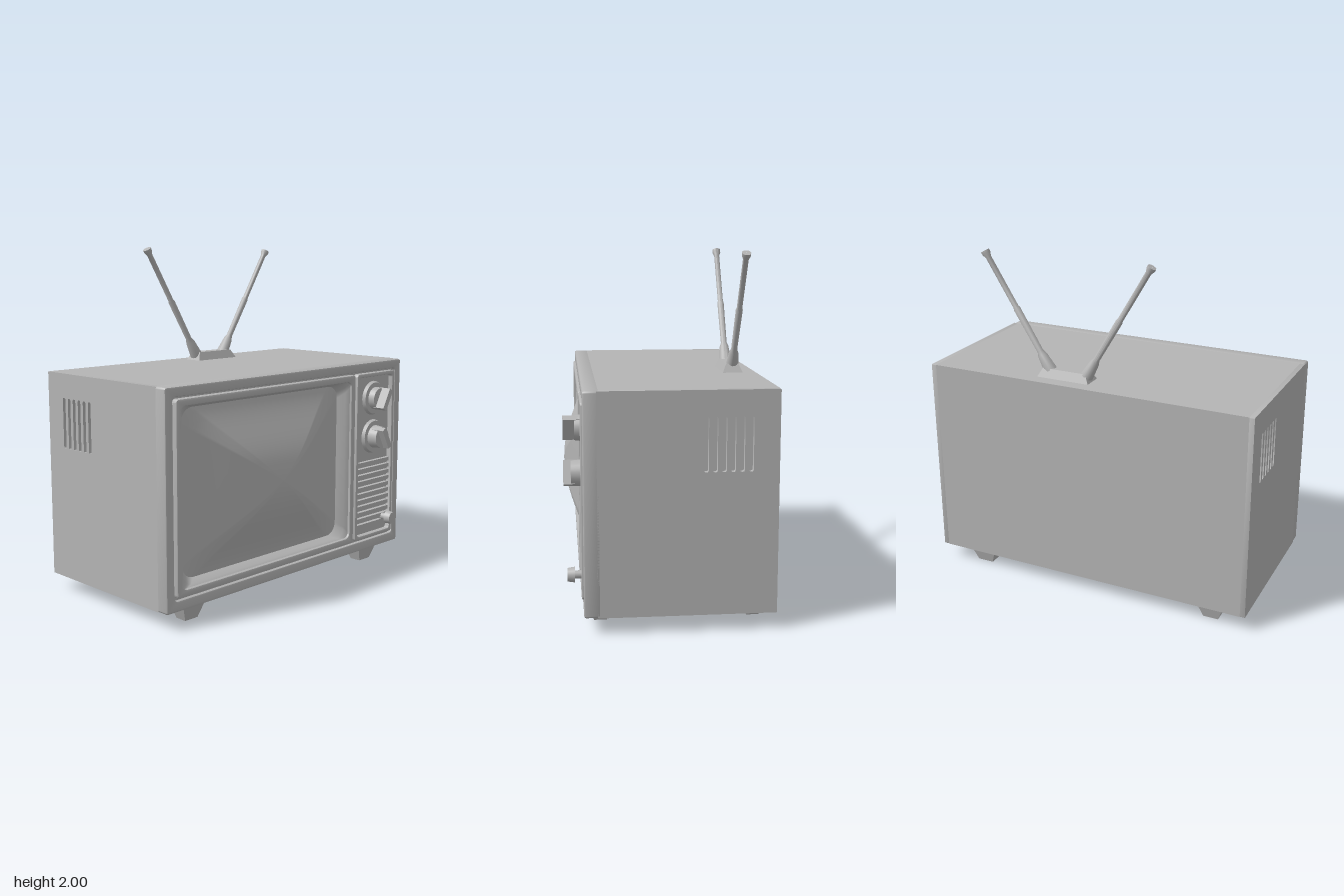
import * as THREE from 'three';
import { toCreasedNormals } from 'three/addons/utils/BufferGeometryUtils.js';

const grey = new THREE.MeshStandardMaterial({ color: 0xb4b4b4 });
grey.name = 'plain grey';

// Corner points of a rounded rectangle, counter-clockwise
function roundRect(x0, x1, y0, y1, r, seg = 6) {
  const pts = [];
  const corners = [[x1 - r, y0 + r], [x1 - r, y1 - r], [x0 + r, y1 - r], [x0 + r, y0 + r]];
  corners.forEach(([cx, cy], k) => {
    for (let i = 0; i <= seg; i++) {
      const a = (k - 1 + i / seg) * Math.PI / 2;
      pts.push(new THREE.Vector2(cx + r * Math.cos(a), cy + r * Math.sin(a)));
    }
  });
  return pts;
}

// Flat plate with holes, from z0 to z1
function plate(outer, holes, z0, z1, bevel = 0) {
  const shape = new THREE.Shape(outer);
  holes.forEach(h => shape.holes.push(new THREE.Path(h)));
  const geo = new THREE.ExtrudeGeometry(shape, {
    depth: z1 - z0 - 2 * bevel, bevelEnabled: bevel > 0,
    bevelSize: bevel, bevelThickness: bevel, bevelOffset: -bevel, bevelSegments: 2,
  });
  return toCreasedNormals(geo.translate(0, 0, z0 + bevel), 0.7);
}

// Skin between successive rings of [x, y, z] points
function loft(rings) {
  const n = rings[0].length, idx = [];
  for (let j = 0; j < rings.length - 1; j++) {
    for (let i = 0; i < n; i++) {
      const a = j * n + i, b = j * n + (i + 1) % n;
      idx.push(a, b, a + n, b, b + n, a + n);
    }
  }
  const geo = new THREE.BufferGeometry();
  geo.setAttribute('position', new THREE.Float32BufferAttribute(rings.flat(2), 3));
  geo.setIndex(idx);
  geo.computeVertexNormals();
  return geo;
}

// Box narrowing towards its underside
function taperedBox(x0, x1, y0, y1, z0, z1, inset) {
  const geo = new THREE.BoxGeometry(x1 - x0, y1 - y0, z1 - z0);
  const p = geo.attributes.position;
  for (let i = 0; i < p.count; i++) {
    if (p.getY(i) < 0) {
      p.setX(i, p.getX(i) - Math.sign(p.getX(i)) * inset);
      p.setZ(i, p.getZ(i) - Math.sign(p.getZ(i)) * Math.min(inset, 0.025));
    }
  }
  geo.translate((x0 + x1) / 2, (y0 + y1) / 2, (z0 + z1) / 2);
  return toCreasedNormals(geo, 0.4);
}

export function createModel() {
  const tv = new THREE.Group();
  tv.name = 'television';
  const add = (name, geo, parent = tv) => {
    const m = new THREE.Mesh(geo, grey);
    m.name = name;
    parent.add(m);
    return m;
  };
  const box = (x0, x1, y0, y1, z0, z1) => new THREE.BoxGeometry(x1 - x0, y1 - y0, z1 - z0)
    .translate((x0 + x1) / 2, (y0 + y1) / 2, (z0 + z1) / 2);

  // Cabinet core, with slotted panels on both sides
  add('cabinet', box(-0.97, 0.97, 0.09, 1.29, -0.56, 0.38));
  const slots = [];
  for (let i = 0; i < 6; i++) {
    const z = -0.41 + i * 0.047;
    slots.push(roundRect(z - 0.012, z + 0.012, 0.86, 1.15, 0.008, 2));
  }
  for (const s of [-1, 1]) {
    const side = add(s > 0 ? 'leftVentPanel' : 'rightVentPanel',
      plate(roundRect(-0.56, 0.39, 0.09, 1.29, 0.004, 2), slots, 0, 0.03)
        .applyMatrix4(new THREE.Matrix4().makeBasis(
          new THREE.Vector3(0, 0, 1), new THREE.Vector3(0, 1, 0), new THREE.Vector3(-1, 0, 0))));
    side.position.x = s > 0 ? 1 : -0.97;
  }

  // Front frame and the trims around the screen and the controls
  add('frontFrame', plate(roundRect(-1, 1, 0.09, 1.29, 0.012, 3),
    [roundRect(-0.945, 0.945, 0.15, 1.235, 0.02, 3)], 0.37, 0.462, 0.01));
  add('frontBoard', plate(roundRect(-0.96, 0.96, 0.14, 1.25, 0.01, 2),
    [roundRect(-0.91, 0.5, 0.2, 1.2, 0.03)], 0.37, 0.44));
  add('screenTrim', plate(roundRect(-0.935, 0.53, 0.165, 1.225, 0.02),
    [roundRect(-0.9, 0.49, 0.205, 1.185, 0.035)], 0.42, 0.475, 0.01));
  add('controlTrim', plate(roundRect(0.55, 0.93, 0.165, 1.225, 0.02),
    [roundRect(0.575, 0.905, 0.19, 1.2, 0.02)], 0.42, 0.472, 0.008));

  // Sloping surround leading in to the screen
  const ring = (pts, z) => pts.map(p => [p.x, p.y, z]);
  add('screenSurround', loft([
    ring(roundRect(-0.905, 0.495, 0.2, 1.19, 0.035), 0.462),
    ring(roundRect(-0.875, 0.465, 0.215, 1.18, 0.06), 0.445),
    ring(roundRect(-0.835, 0.43, 0.235, 1.16, 0.08), 0.395),
  ]));

  // Bulging glass, made of shrinking rings
  const cx = -0.205, cy = 0.697, edge = roundRect(-0.85, 0.44, 0.225, 1.17, 0.09);
  const glass = [];
  for (let j = 0; j <= 14; j++) {
    const s = Math.max(1 - j / 14, 0.001);
    glass.push(edge.map(p => {
      const u = (p.x - cx) * s / 0.645, v = (p.y - cy) * s / 0.4725;
      return [cx + (p.x - cx) * s, cy + (p.y - cy) * s,
        0.55 - 0.15 * (u * u + v * v - u * u * v * v)];
    }));
  }
  add('screen', loft(glass));

  // Turning knobs with a slanted grip bar
  const disc = (r0, r1, h) => new THREE.CylinderGeometry(r0, r1, h, 24).rotateX(Math.PI / 2);
  [[1.06, 0.5, -0.5], [0.815, 0.52, 0.5]].forEach(([y, front, tilt], i) => {
    const knob = new THREE.Group();
    knob.name = i ? 'lowerKnob' : 'upperKnob';
    knob.position.set(0.745, y, 0);
    add('knobCollar', disc(0.1, 0.108, 0.02), knob).position.z = 0.45;
    add('knobBody', disc(0.066, 0.074, front - 0.44), knob).position.z = (front + 0.44) / 2;
    add('knobGrip', box(-0.018, 0.018, -0.068, 0.068, 0.46, 0.56), knob).rotation.z = tilt;
    tv.add(knob);
  });

  // Loudspeaker grille
  const grille = new THREE.Group();
  grille.name = 'speakerGrille';
  for (let i = 0; i < 11; i++) {
    const y = 0.25 + i * 0.04;
    add('grilleSlat', box(0.575, 0.895, y - 0.012, y + 0.012, 0.43, 0.465), grille);
  }
  tv.add(grille);
  add('smallKnobStem', disc(0.022, 0.022, 0.08)).position.set(0.84, 0.28, 0.48);
  add('smallKnob', disc(0.036, 0.042, 0.04)).position.set(0.84, 0.28, 0.525);

  // Base: runners, their end feet and a shallow tray
  for (const [name, x0, x1] of [['leftRunner', 0.65, 0.82], ['rightRunner', -0.86, -0.7]]) {
    add(name, taperedBox(x0, x1, 0.025, 0.09, -0.52, 0.42, 0.03));
    for (const z of [-0.53, 0.31]) add('foot', taperedBox(x0, x1, 0, 0.091, z, z + 0.12, 0.035));
  }
  add('underTray', taperedBox(-0.74, 0.23, 0.02, 0.09, -0.44, 0.3, 0.03));

  // Aerial stand and two rods
  const stand = taperedBox(0, 0.33, -1.34, -1.285, 0.365, 0.485, 0.03).rotateX(Math.PI);
  add('aerialStand', stand);
  const up = new THREE.Vector3(0, 1, 0);
  for (const [name, x0, x1, top] of [['rightAerial', 0.035, -0.36, 1.985], ['leftAerial', 0.265, 0.67, 1.975]]) {
    const a = new THREE.Vector3(x0, 1.32, -0.43), b = new THREE.Vector3(x1, top, -0.43);
    const len = a.distanceTo(b);
    const aerial = new THREE.Group();
    aerial.name = name;
    aerial.position.copy(a);
    aerial.quaternion.setFromUnitVectors(up, b.sub(a).normalize());
    // Profile: socket, sleeve, thin rod, flared tip
    const profile = [[0.001, 0], [0.038, 0], [0.027, 0.1], [0.018, 0.125], [0.02, 0.4], [0.016, 0.41],
      [0.016, len - 0.04], [0.025, len - 0.015], [0.025, len], [0.001, len]];
    add('aerialRod', toCreasedNormals(new THREE.LatheGeometry(
      profile.map(([r, y]) => new THREE.Vector2(r, y)), 14), 0.6), aerial);
    tv.add(aerial);
  }
  return tv;
}
